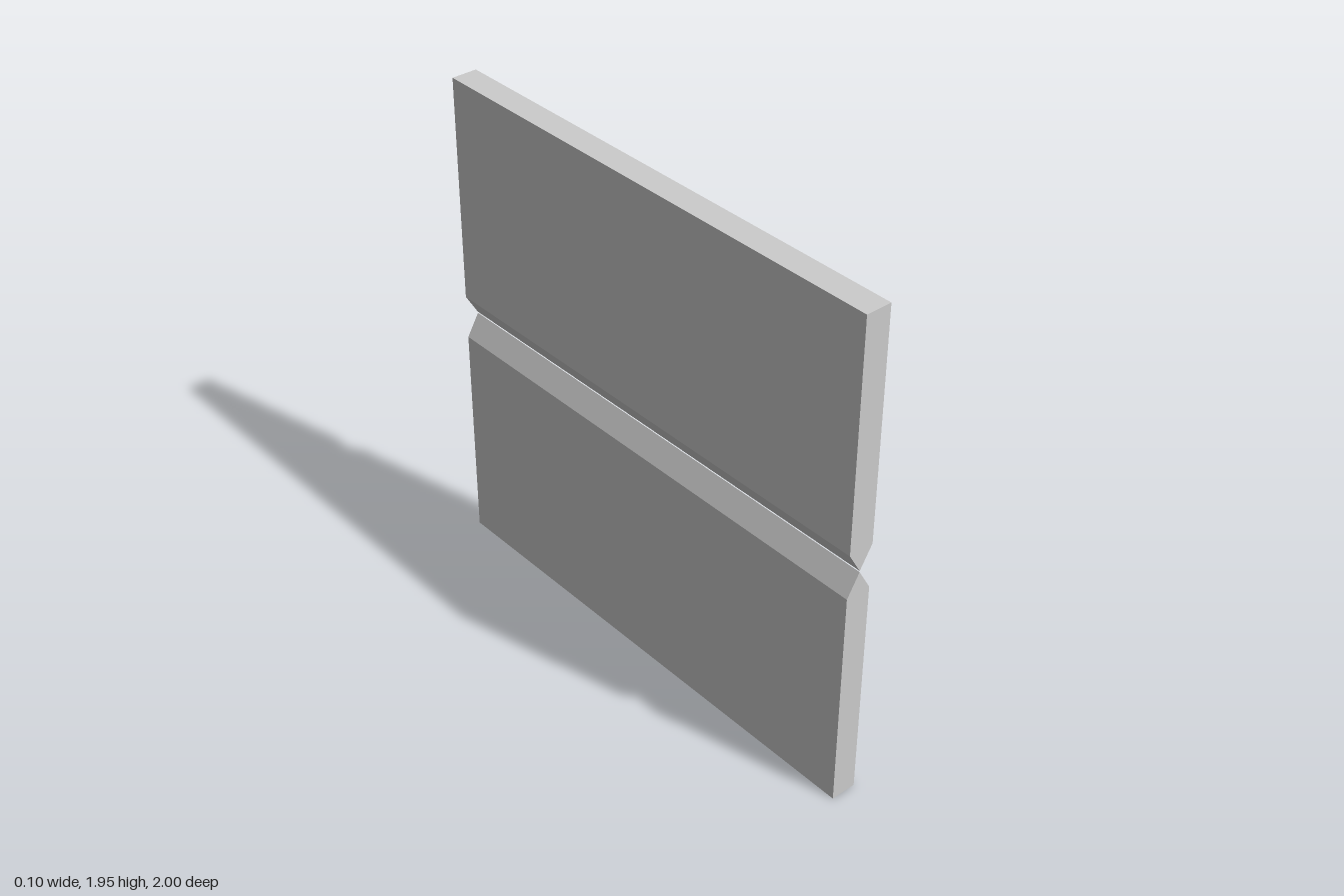
import * as THREE from 'three';

const HALF = 0.05;   // half thickness of a panel
const DEPTH = 2;

// A slab whose flat edge is at yFlat and whose other edge is bevelled to a ridge at yTip
function bevelledPanel(name, yFlat, yShoulder, yTip, material) {
  const shape = new THREE.Shape([
    new THREE.Vector2(-HALF, yFlat),
    new THREE.Vector2(HALF, yFlat),
    new THREE.Vector2(HALF, yShoulder),
    new THREE.Vector2(0, yTip),
    new THREE.Vector2(-HALF, yShoulder),
  ]);
  const geometry = new THREE.ExtrudeGeometry(shape, { depth: DEPTH, bevelEnabled: false });
  geometry.translate(0, 0, -DEPTH / 2);
  const mesh = new THREE.Mesh(geometry, material);
  mesh.name = name;
  return mesh;
}

export function createModel() {
  const group = new THREE.Group();
  group.name = 'splitPanel';
  const material = new THREE.MeshStandardMaterial({ color: 0xcccccc, flatShading: true });

  // Two panels meeting ridge to ridge with a hairline gap
  group.add(bevelledPanel('lowerPanel', 0, 0.883, 0.969, material));
  group.add(bevelledPanel('upperPanel', 1.948, 1.059, 0.974, material));
  return group;
}
